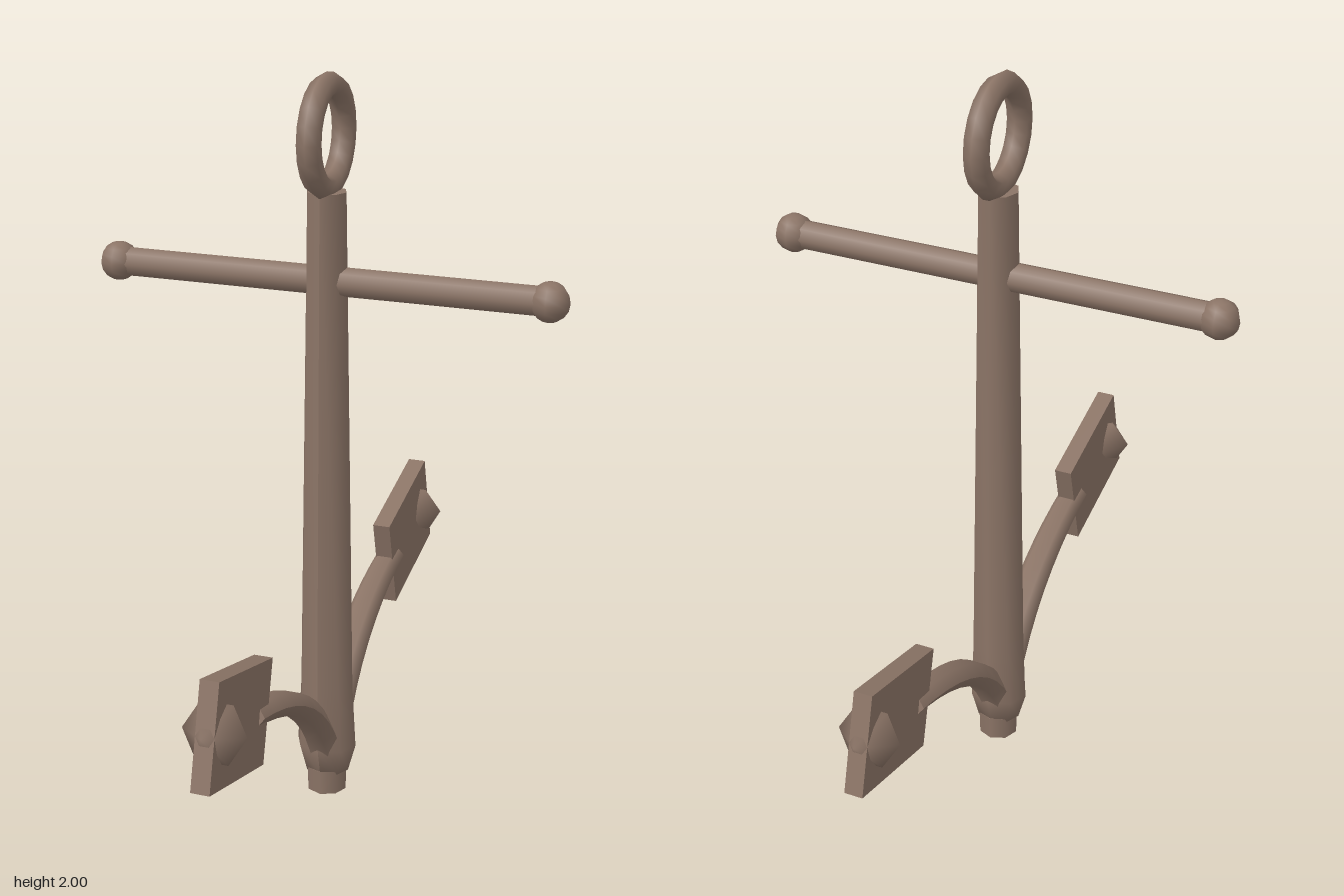
import * as THREE from 'three';

export function createModel() {
  const root = new THREE.Group();
  root.name = 'anchor';
  const iron = new THREE.MeshStandardMaterial({ color: 0x8b7466 });
  iron.name = 'brown iron';

  const add = (parent, name, geometry, x = 0, y = 0, z = 0) => {
    const mesh = new THREE.Mesh(geometry, iron);
    mesh.name = name;
    mesh.position.set(x, y, z);
    parent.add(mesh);
    return mesh;
  };

  // Shank: tapered column, slightly flattened front to back at the crown
  const profile = [[0, 0.06], [0.063, 0.06], [0.085, 0.14], [0.075, 0.32], [0.053, 1.7]]
    .map(([r, y]) => new THREE.Vector2(r, y));
  const shank = new THREE.LatheGeometry(profile, 8);
  const p = shank.attributes.position;
  for (let i = 0; i < p.count; i++) {
    if (p.getY(i) < 0.2) p.setZ(i, p.getZ(i) * 0.85);
  }
  shank.computeVertexNormals();
  add(root, 'shank', shank);
  add(root, 'shankTop', new THREE.CircleGeometry(0.053, 8).rotateX(-Math.PI / 2), 0, 1.7, 0);
  add(root, 'crownPeg', new THREE.CylinderGeometry(0.058, 0.056, 0.07, 8), 0, 0.035, 0);

  // Ring
  add(root, 'ring', new THREE.TorusGeometry(0.128, 0.032, 6, 20).rotateY(Math.PI / 2), 0, 1.84, 0);

  // Stock with a ball at each end
  add(root, 'stock', new THREE.CylinderGeometry(0.039, 0.039, 1.17, 8).rotateZ(Math.PI / 2), 0, 1.467, 0);
  for (const side of [-1, 1]) {
    add(root, 'stockBall', new THREE.SphereGeometry(0.052, 8, 8), side * 0.587, 1.467, 0);
  }

  // Arms with flukes, front and back
  const tilt = THREE.MathUtils.degToRad(15);
  const path = new THREE.QuadraticBezierCurve3(
    new THREE.Vector3(0, 0.08, 0), new THREE.Vector3(0, 0.4, 0.13), new THREE.Vector3(0, 0.488, 0.55));
  const steps = 10, sides = 6;
  for (const turn of [0, Math.PI]) {
    const half = new THREE.Group();
    half.name = turn ? 'backArm' : 'frontArm';
    half.rotation.y = turn;
    root.add(half);

    // Six-sided tube, flattened and tapering to its tip
    const tube = new THREE.TubeGeometry(path, steps, 1, sides);
    const pos = tube.attributes.position;
    const v = new THREE.Vector3();
    for (let i = 0; i < pos.count; i++) {
      const t = Math.floor(i / (sides + 1)) / steps;
      const c = path.getPointAt(t);
      const r = 0.052 - 0.012 * t;
      v.fromBufferAttribute(pos, i).sub(c);
      pos.setXYZ(i, v.x * r, c.y + v.y * r * 0.8, c.z + v.z * r * 0.8);
    }
    tube.computeVertexNormals();
    add(half, 'arm', tube);
    const cap = add(half, 'armTip', new THREE.CircleGeometry(0.04, sides).scale(1, 0.8, 1), 0, 0.488, 0.55);
    cap.rotation.x = -Math.atan2(0.088, 0.42);

    // Fluke plate with a six-sided double-pointed stud near its outer end
    const fluke = new THREE.Group();
    fluke.name = 'fluke';
    fluke.position.set(0, 0.5225, 0.66);
    fluke.rotation.x = -tilt;
    half.add(fluke);
    add(fluke, 'flukePlate', new THREE.BoxGeometry(0.05, 0.275, 0.346));
    const stud = new THREE.SphereGeometry(0.085, 6, 2).rotateX(Math.PI / 2);
    add(fluke, 'flukeStud', stud, 0, 0, 0.113);
  }
  return root;
}
